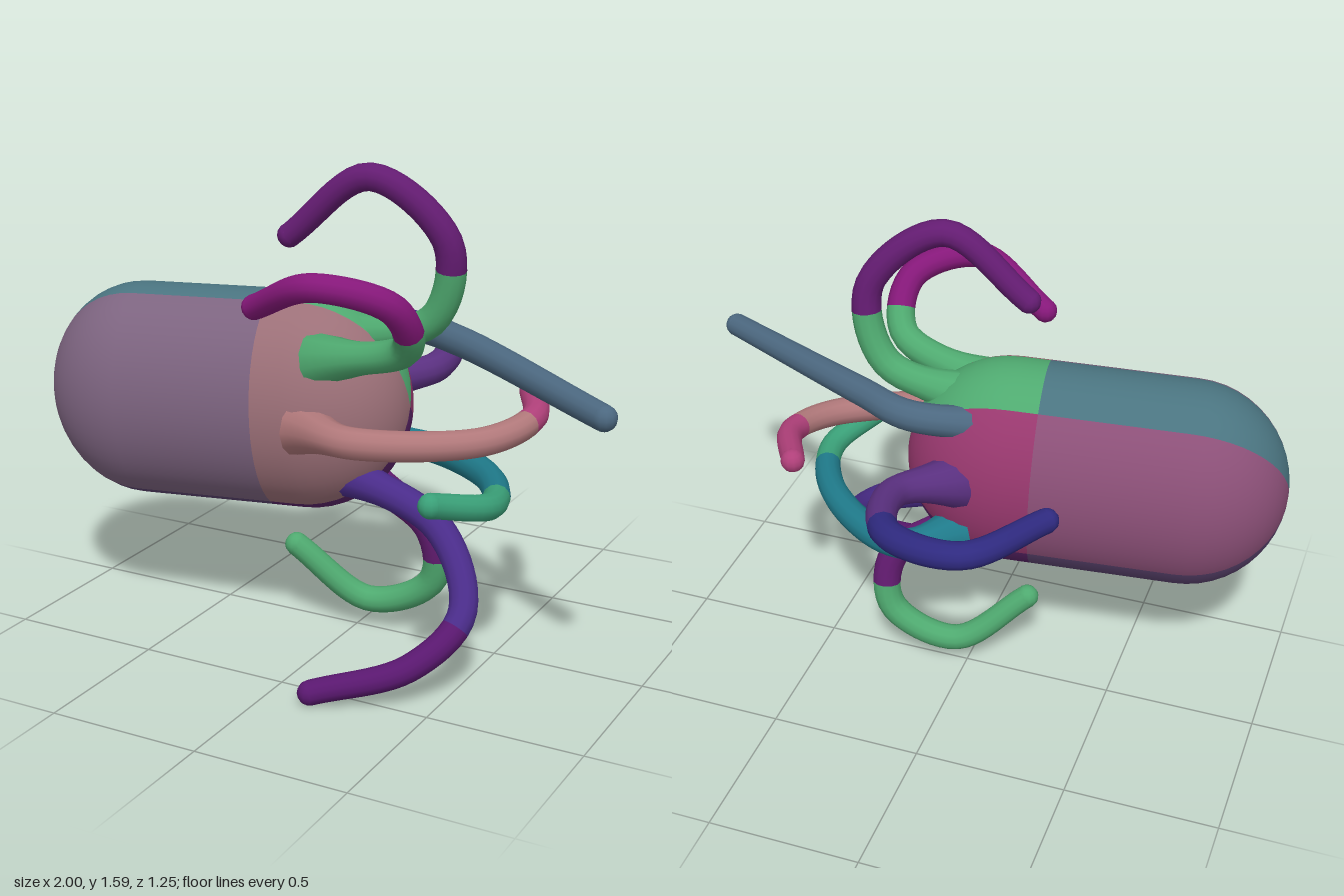
import * as THREE from 'three';

const STEEL = 0x4c6880, GREEN = 0x4faa70, PURPLE = 0x641c72, MAGENTA = 0x86187a;
const paint = (color) => new THREE.MeshStandardMaterial({ color });

// Arm radius: flared where it leaves the body, then a gentle taper
const armRadius = (t) => 0.053 - 0.014 * t + 0.045 * Math.max(0, 1 - t / 0.18) ** 2;

// A tapered arm along a smooth path, base colour first, then the end colour after the split
function makeArm(name, baseColor, endColor, split, ...path) {
  const arm = new THREE.Group();
  arm.name = name;
  const curve = new THREE.CatmullRomCurve3(path.map((p) => new THREE.Vector3(...p)));
  const rings = 40, sides = 12;
  const tube = new THREE.TubeGeometry(curve, rings, 1, sides);
  const pos = tube.attributes.position, v = new THREE.Vector3();
  for (let k = 0; k < pos.count; k++) {
    const t = Math.floor(k / (sides + 1)) / rings;
    const center = curve.getPointAt(t);
    v.fromBufferAttribute(pos, k).sub(center).multiplyScalar(armRadius(t)).add(center);
    pos.setXYZ(k, v.x, v.y, v.z);
  }
  const index = Array.from(tube.index.array);
  const cut = Math.round(split * rings) * sides * 6;
  const add = (part, geometry, color) => {
    const mesh = new THREE.Mesh(geometry, paint(color));
    mesh.name = name + part;
    arm.add(mesh);
  };
  add('Base', tube.clone().setIndex(index.slice(0, cut)), baseColor);
  add('End', tube.clone().setIndex(index.slice(cut)), endColor);
  const tip = curve.getPointAt(1);
  add('Tip', new THREE.SphereGeometry(armRadius(1), 12, 8).translate(tip.x, tip.y, tip.z), endColor);
  return arm;
}

// Capsule body with an oval section, in coloured panels around and along its axis
function makeBody() {
  const body = new THREE.Group();
  body.name = 'body';
  const R = 0.355, steps = 12, tail = [], head = [new THREE.Vector2(R, 0.18)];
  for (let i = 0; i <= steps; i++) {
    const a = (i / steps) * Math.PI / 2;
    tail.push(new THREE.Vector2(R * Math.sin(a), -0.29 - 0.325 * Math.cos(a)));
    head.push(new THREE.Vector2(R * Math.cos(a), 0.275 + 0.34 * Math.sin(a)));
  }
  tail.push(head[0]);
  // Lay the axis along x, narrow it front to back, then tilt it
  const place = new THREE.Matrix4().makeTranslation(-0.39, 0.795, 0.145)
    .multiply(new THREE.Matrix4().makeRotationFromEuler(new THREE.Euler(0, 0.145, 0.03)))
    .multiply(new THREE.Matrix4().makeScale(1, 1, 0.76))
    .multiply(new THREE.Matrix4().makeRotationZ(-Math.PI / 2));
  const addPanel = (name, from, to, tailColor, headColor) => {
    for (const [part, profile, color] of [['Tail', tail, tailColor], ['Head', head, headColor]]) {
      const geometry = new THREE.LatheGeometry(profile, Math.round((to - from) * 48),
        from * 2 * Math.PI, (to - from) * 2 * Math.PI);
      const mesh = new THREE.Mesh(geometry.applyMatrix4(place), paint(color));
      mesh.name = name + part;
      body.add(mesh);
    }
  };
  // Panel limits in turns: front, underside, back, top
  addPanel('front', -0.2, 0.17, 0x7d6480, 0x9c7078);
  addPanel('underside', 0.17, 0.4, 0x5c4470, 0x5a2468);
  addPanel('back', 0.4, 0.65, 0x8c5078, 0x98386e);
  addPanel('top', 0.65, 0.8, 0x4a7480, GREEN);
  return body;
}

export function createModel() {
  const model = new THREE.Group();
  model.name = 'tentacledCapsule';
  model.add(
    makeBody(),
    makeArm('upperArm', GREEN, PURPLE, 0.4,
      [0, 1.02, 0.08], [0.3, 1.11, 0.07], [0.36, 1.36, 0.1], [0.13, 1.55, 0.16], [-0.14, 1.35, 0.18]),
    makeArm('upperFrontArm', GREEN, MAGENTA, 0.4,
      [0, 0.98, 0.24], [0.33, 1.08, 0.31], [0.34, 1.23, 0.43], [0.14, 1.29, 0.53], [-0.12, 1.18, 0.43]),
    makeArm('straightArm', STEEL, STEEL, 0.5,
      [-0.14, 1, 0], [0.16, 1.03, -0.09], [0.35, 1.03, -0.01], [0.96, 0.97, 0.34]),
    makeArm('frontArm', 0xb0787a, 0xb0407a, 0.75,
      [-0.03, 0.78, 0.3], [0.18, 0.78, 0.37], [0.53, 0.79, 0.2], [0.61, 0.82, 0], [0.52, 0.85, -0.2]),
    makeArm('backArm', 0x5a3080, 0x2f2a80, 0.4,
      [0, 0.83, -0.1], [0.15, 0.85, -0.26], [0.08, 0.88, -0.5], [-0.18, 0.91, -0.57], [-0.36, 0.9, -0.31]),
    makeArm('lowerSideArm', 0x1f7a8a, 0x3aa078, 0.7,
      [-0.02, 0.63, -0.08], [0.16, 0.6, -0.19], [0.46, 0.6, -0.01], [0.58, 0.61, 0.25], [0.48, 0.66, 0.45]),
    makeArm('lowerFrontArm', 0x4a2c8a, 0x5a1870, 0.6,
      [0, 0.62, 0.17], [0.38, 0.48, 0.18], [0.52, 0.27, 0.3], [0.42, 0.13, 0.45], [0.15, 0.045, 0.59]),
    makeArm('lowerArm', PURPLE, GREEN, 0.4,
      [0, 0.58, 0.05], [0.26, 0.4, 0], [0.26, 0.2, -0.03], [0.04, 0.1, -0.01], [-0.19, 0.28, 0.07]),
  );
  return model;
}
